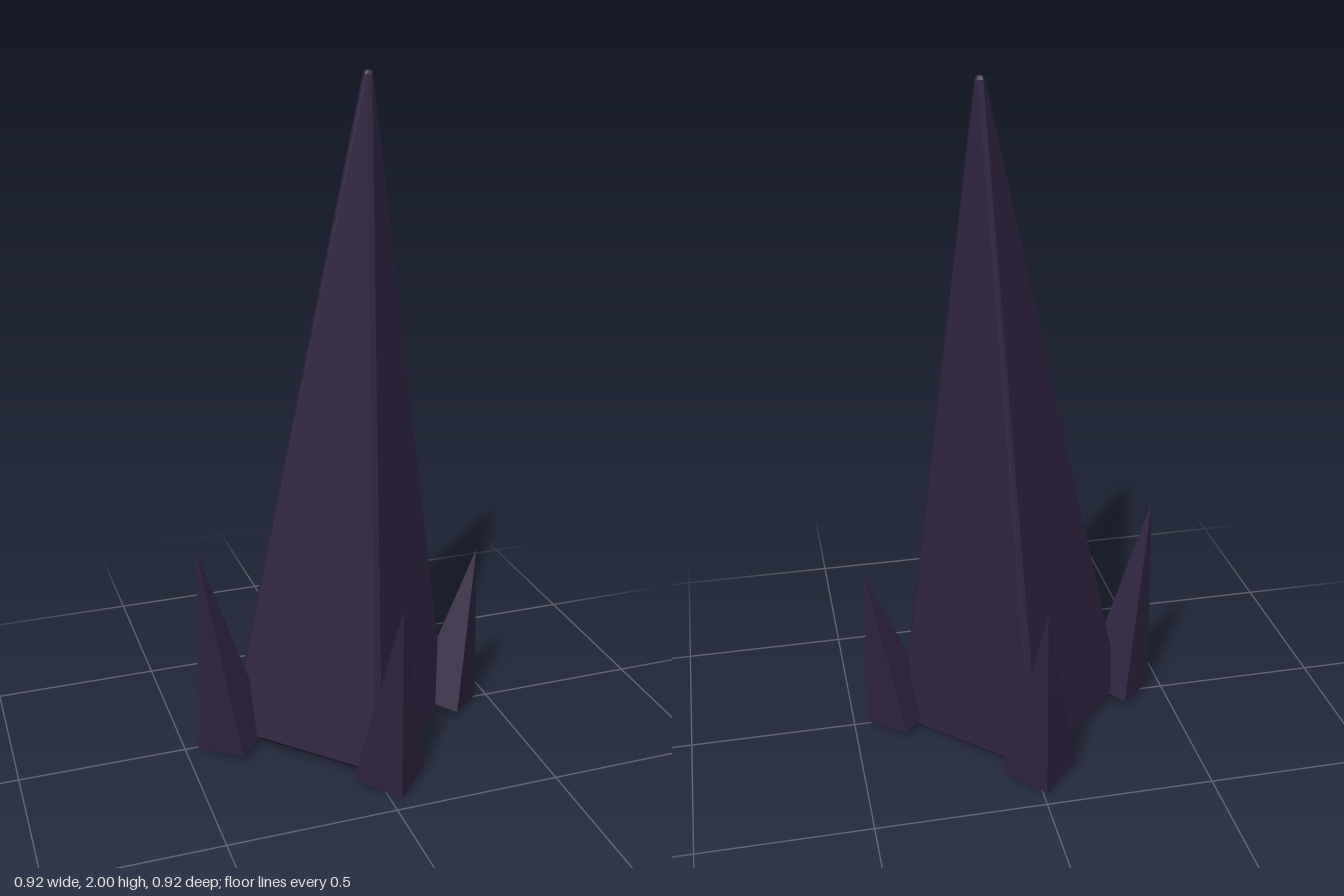
import * as THREE from 'three';
import { ConvexGeometry } from 'three/addons/geometries/ConvexGeometry.js';

const v = (x, y, z) => new THREE.Vector3(x, y, z);

// Square ring with its corners on the axes, each corner cut off by a chamfer of half-width c
function chamferedRing(radius, c, y) {
  const points = [];
  for (let i = 0; i < 4; i++) {
    for (const side of [-c, c]) {
      points.push(v(radius, y, side).applyAxisAngle(v(0, 1, 0), i * Math.PI / 2));
    }
  }
  return points;
}

export function createModel() {
  const group = new THREE.Group();
  const stone = new THREE.MeshStandardMaterial({ color: 0x2e2240, flatShading: true });
  stone.name = 'dark purple stone';

  // Tall leaning spire with narrow bevels along all edges
  const spire = new THREE.Mesh(new ConvexGeometry([
    ...chamferedRing(0.335, 0.01, 0),
    ...chamferedRing(0.352, 0.01, 0.014),
    ...chamferedRing(0.013, 0.007, 1.975),
    ...chamferedRing(0.008, 0.005, 1.985),
  ]), stone);
  spire.name = 'spire';
  spire.position.set(-0.001, 0.017, -0.003);
  spire.rotation.set(-0.014, 0, -0.046);
  group.add(spire);

  // Four outward-leaning spikes: turn about y, sideways shift, tip height
  const spikes = [
    ['leftSpike', 0, 0, 0.53],
    ['backSpike', 1, -0.01, 0.605],
    ['rightSpike', 2, -0.02, 0.67],
    ['frontSpike', 3, 0.03, 0.605],
  ];
  for (const [name, turn, shift, height] of spikes) {
    const spike = new THREE.Mesh(new ConvexGeometry([
      v(0.461, 0.008, 0), v(0.351, 0.027, 0.111), v(0.241, 0.046, 0), v(0.351, 0.027, -0.111),
      v(0.449, height, 0),
    ]), stone);
    spike.name = name;
    spike.rotation.y = turn * Math.PI / 2;
    // Shift runs along x for front and back, along z for the sides
    if (turn % 2) spike.position.x = shift;
    else spike.position.z = -shift;
    group.add(spike);
  }
  return group;
}
